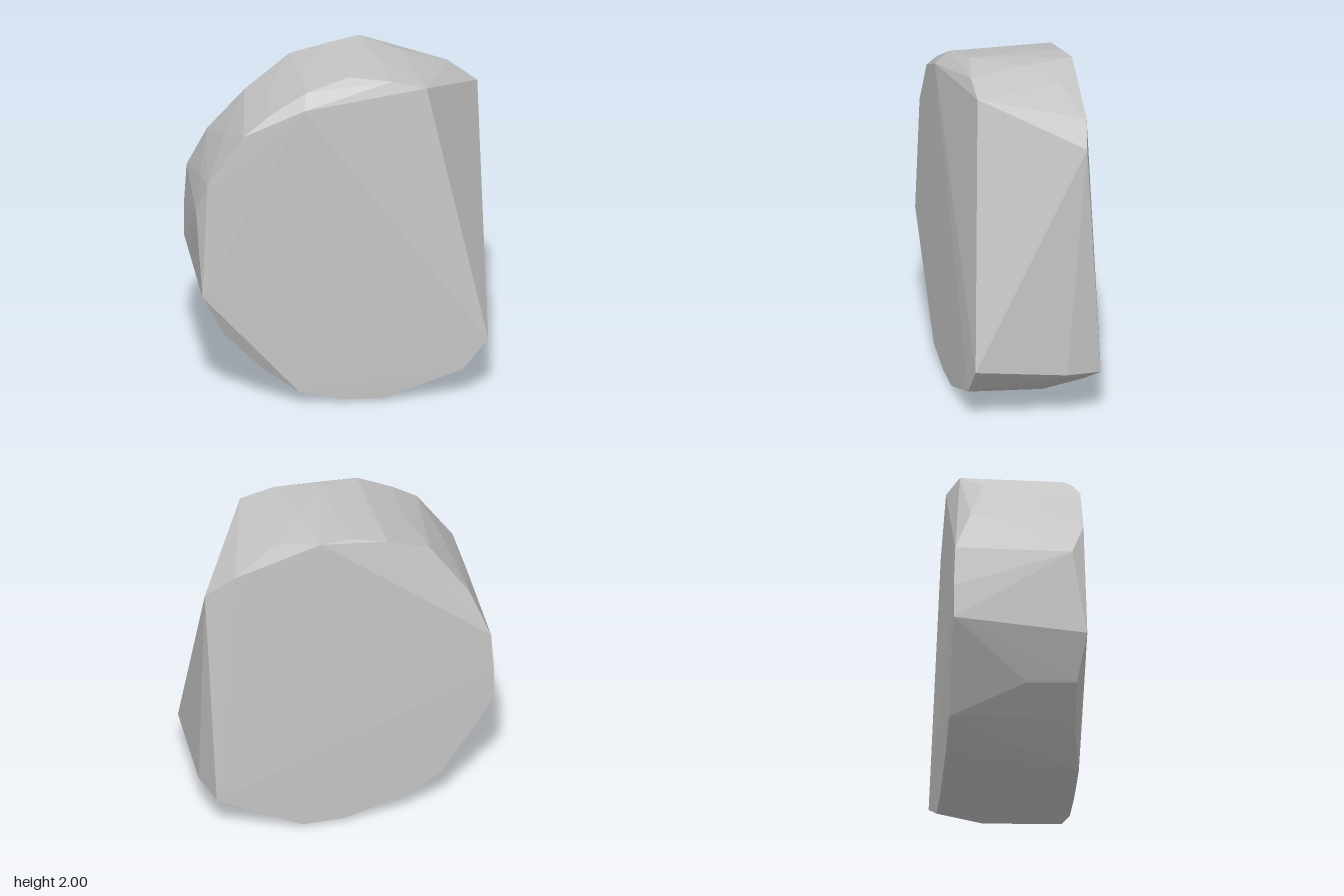
import * as THREE from 'three';
import { ConvexGeometry } from 'three/addons/geometries/ConvexGeometry.js';

const toVectors = (ring) => ring.map(([x, y, z]) => new THREE.Vector3(x, y, z));

// corners around the broad front face, counter-clockwise from the right shoulder
const frontRim = [
  [0.5, 1.93, 0.28], [0.3, 1.98, 0.28], [0.05, 2, 0.24], [-0.2, 1.94, 0.31],
  [-0.22, 1.86, 0.39], [-0.41, 1.82, 0.34], [-0.57, 1.7, 0.37], [-0.78, 1.39, 0.37],
  [-0.84, 1.2, 0.3], [-0.81, 0.7, 0.39], [-0.68, 0.44, 0.34], [-0.46, 0.22, 0.35],
  [-0.25, 0.08, 0.39], [0, 0.02, 0.385], [0.23, 0.015, 0.38], [0.7, 0.18, 0.375],
  [0.85, 0.36, 0.36],
];

// chipped corners between the two faces
const waist = [
  [0.4, 1.95, -0.22], [0.23, 2, -0.05], [-0.02, 1.98, -0.3], [-0.25, 1.92, -0.3],
  [-0.2, 1.94, 0], [-0.42, 1.82, 0.05], [-0.52, 1.75, -0.19], [-0.66, 1.59, 0.1],
  [-0.73, 1.47, -0.28], [-0.8, 1.34, 0.08], [-0.68, 0.43, 0.05], [-0.54, 0.27, 0.1],
  [-0.4, 0.16, -0.02], [-0.1, 0.03, 0], [0.1, 0, -0.2], [0.3, 0.02, 0],
  [0.52, 0.08, -0.1], [0.7, 0.18, -0.05], [0.85, 0.3, -0.18],
];

// corners around the back face
const backRim = [
  [0.84, 1.71, -0.3], [0.67, 1.83, -0.33], [0.16, 2, -0.345], [-0.84, 1.2, -0.38],
  [-0.855, 0.95, -0.39], [-0.855, 0.75, -0.39], [-0.54, 0.26, -0.39], [-0.33, 0.13, -0.39],
  [0.03, 0.025, -0.39], [0.28, 0.02, -0.39], [0.79, 0.28, -0.39],
];

export function createModel() {
  const stone = new THREE.MeshStandardMaterial({ color: 0xc4c4c4 });
  stone.name = 'stone grey';
  stone.flatShading = true;

  // one faceted convex boulder slab
  const rock = new THREE.Mesh(
    new ConvexGeometry([frontRim, waist, backRim].flatMap(toVectors)), stone);
  rock.name = 'rock';

  const group = new THREE.Group();
  group.name = 'boulder';
  group.add(rock);
  return group;
}
